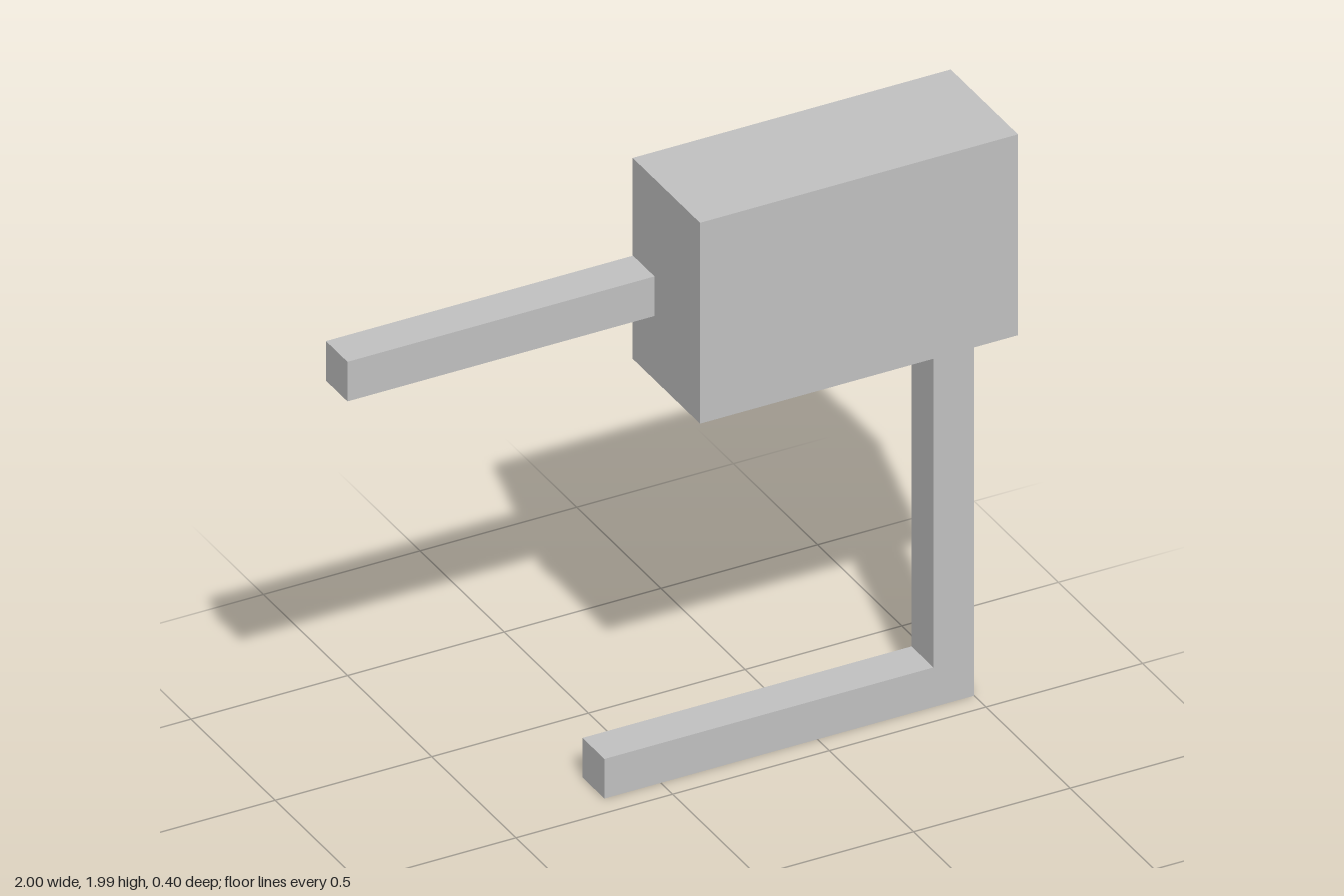
import * as THREE from 'three';

const grey = new THREE.MeshStandardMaterial({ color: 0xc2c2c2, side: THREE.DoubleSide });
grey.name = 'plain grey';

// Open-backed tray: a front panel plus a wall along each outline edge.
// Outline runs counter-clockwise; edges listed in openEdges get no wall.
function tray(name, outline, front, back, openEdges = []) {
  const group = new THREE.Group();
  group.name = name;

  const shape = new THREE.Shape(outline.map(([x, y]) => new THREE.Vector2(x, y)));
  const panel = new THREE.Mesh(new THREE.ShapeGeometry(shape), grey);
  panel.position.z = front;
  panel.name = name + 'FrontPanel';
  group.add(panel);

  outline.forEach(([x0, y0], i) => {
    if (openEdges.includes(i)) return;
    const [x1, y1] = outline[(i + 1) % outline.length];
    const wall = new THREE.Mesh(
      new THREE.PlaneGeometry(front - back, Math.hypot(x1 - x0, y1 - y0)), grey);
    // Turn the plane so that its normal points out of the outline
    const along = new THREE.Vector3(x1 - x0, y1 - y0, 0).normalize();
    const depth = new THREE.Vector3(0, 0, -1);
    const normal = new THREE.Vector3().crossVectors(depth, along);
    wall.quaternion.setFromRotationMatrix(new THREE.Matrix4().makeBasis(depth, along, normal));
    wall.position.set((x0 + x1) / 2, (y0 + y1) / 2, (front + back) / 2);
    wall.name = name + 'Wall';
    group.add(wall);
  });
  return group;
}

export function createModel() {
  const model = new THREE.Group();
  model.name = 'bracketedBox';

  // Large box, open at the back
  model.add(tray('box', [[-0.02, 1.33], [0.995, 1.33], [0.995, 1.99], [-0.02, 1.99]], 0.2, -0.2));

  // Side arm, its inner end open and poking through the box wall
  model.add(tray('arm', [[-1, 1.54], [0.04, 1.54], [0.04, 1.67], [-1, 1.67]], -0.07, -0.198, [1]));

  // Post and foot in one L-shaped channel, open where it meets the box
  model.add(tray('postAndFoot', [
    [-0.18, 0], [1, 0], [1, 1.33], [0.87, 1.33], [0.87, 0.13], [-0.18, 0.13],
  ], -0.07, -0.2, [2]));

  return model;
}
